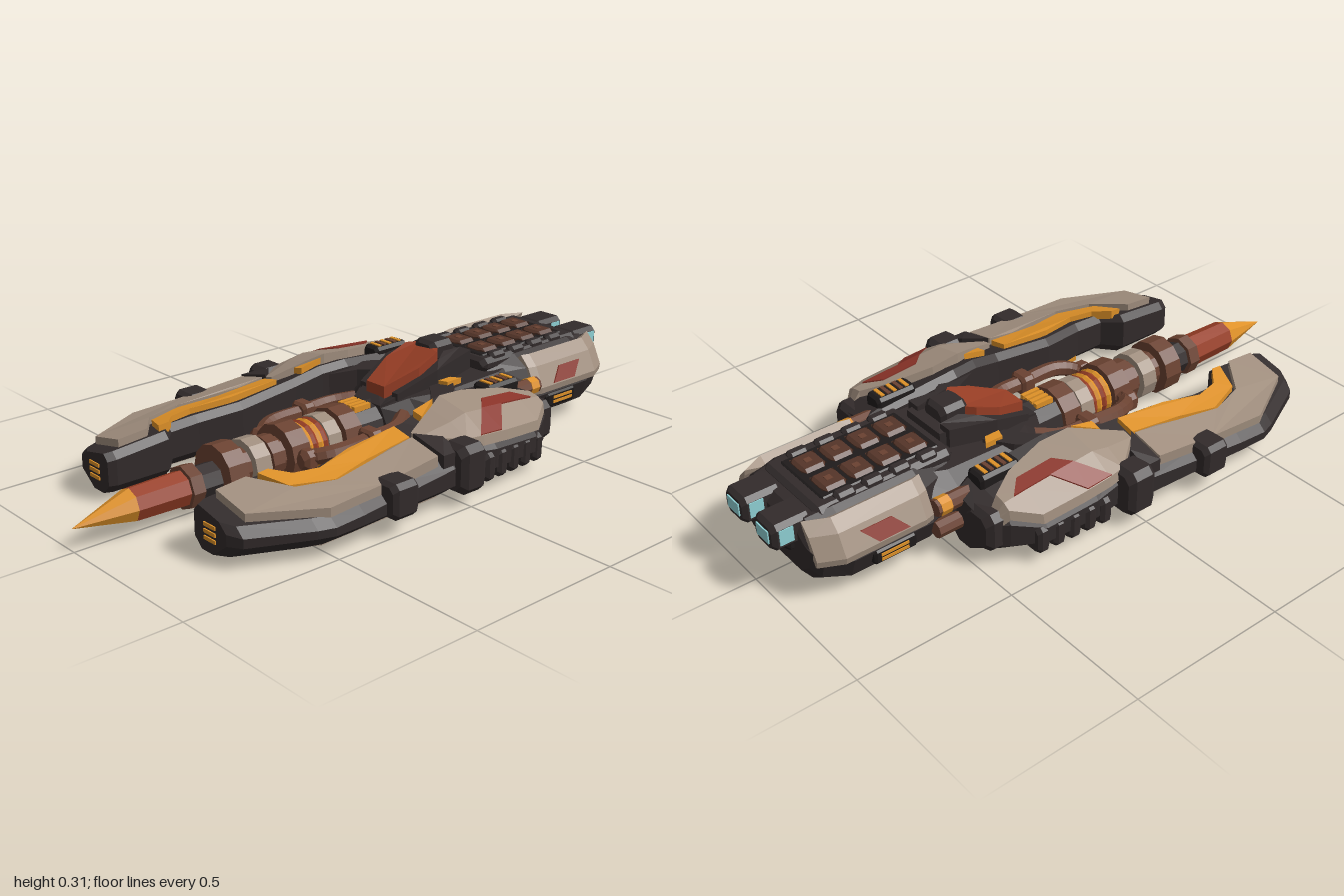
import * as THREE from 'three';

const mat = (name, color) => Object.assign(new THREE.MeshStandardMaterial({ color }), { name });
const M = {
  dark: mat('dark armour', 0x322b2b), black: mat('black recess', 0x1f1b1b),
  beige: mat('beige plating', 0xa08e7e), red: mat('red paint', 0x8a3328),
  rust: mat('burnt red', 0x983e25), orange: mat('amber glow', 0xde9128),
  brown: mat('brown metal', 0x6b4231), umber: mat('dark brown tile', 0x553529),
  cyan: mat('cyan glass', 0x90d2d6),
};

// Faceted closed mesh: flips inside-out faces, optionally mirrored across z
function facet(src, flipZ) {
  const g = src.index ? src.toNonIndexed() : src.clone();
  if (flipZ) g.scale(1, 1, -1);
  const p = g.attributes.position, v = [0, 1, 2].map(() => new THREE.Vector3());
  let vol = 0;
  for (let i = 0; i < p.count; i += 3) {
    v.forEach((q, k) => q.fromBufferAttribute(p, i + k));
    vol += v[0].dot(v[1].clone().cross(v[2]));
  }
  if (vol < 0) for (let i = 0; i < p.count; i += 3) {
    v.forEach((q, k) => q.fromBufferAttribute(p, i + k));
    p.setXYZ(i, v[2].x, v[2].y, v[2].z);
    p.setXYZ(i + 2, v[0].x, v[0].y, v[0].z);
  }
  const out = new THREE.BufferGeometry().setAttribute('position', p);
  out.computeVertexNormals();
  return out;
}

// Skin through rings of [z, y] points at stations along x
function loft(stations) {
  const pos = [], idx = [], n = stations[0][1].length;
  for (const [x, ring] of stations) for (const [z, y] of ring) pos.push(x, y, z);
  for (let s = 0; s < stations.length - 1; s++) for (let i = 0; i < n; i++) {
    const a = s * n + i, b = s * n + (i + 1) % n;
    idx.push(a, b, a + n, b, b + n, a + n);
  }
  for (const s of [0, stations.length - 1]) {
    const [x, ring] = stations[s], c = pos.length / 3;
    pos.push(x, ring.reduce((t, q) => t + q[1], 0) / n, ring.reduce((t, q) => t + q[0], 0) / n);
    for (let i = 0; i < n; i++) {
      const a = s * n + i, b = s * n + (i + 1) % n;
      if (s) idx.push(a, b, c); else idx.push(b, a, c);
    }
  }
  const g = new THREE.BufferGeometry();
  g.setAttribute('position', new THREE.Float32BufferAttribute(pos, 3));
  g.setIndex(idx);
  return g;
}

// Chamfered box from its limits
function block(x0, x1, y0, y1, z0, z1, c = 0.01) {
  const ring = (i) => {
    const a = z0 + i, b = z1 - i, d = y0 + i, e = y1 - i;
    return [[a + c, d], [b - c, d], [b, d + c], [b, e - c], [b - c, e], [a + c, e], [a, e - c], [a, d + c]];
  };
  return loft([[x0, ring(c * 0.7)], [x0 + c, ring(0)], [x1 - c, ring(0)], [x1, ring(c * 0.7)]]);
}
const box = (x0, x1, y0, y1, z0, z1) =>
  new THREE.BoxGeometry(x1 - x0, y1 - y0, z1 - z0).translate((x0 + x1) / 2, (y0 + y1) / 2, (z0 + z1) / 2);
const tube = (x0, x1, r0, r1, y, z, sides) =>
  new THREE.CylinderGeometry(r1, r0, x1 - x0, sides).rotateZ(-Math.PI / 2).translate((x0 + x1) / 2, y, z);

// Plate cut from an [x, z] outline, its top following top(x, z)
function slab(outline, top, thick) {
  const shape = new THREE.Shape(outline.map(([x, z]) => new THREE.Vector2(x, z)));
  const g = new THREE.ExtrudeGeometry(shape, { depth: 1, bevelEnabled: false });
  const p = g.attributes.position;
  for (let i = 0; i < p.count; i++) {
    const x = p.getX(i), z = p.getY(i), t = p.getZ(i);
    p.setXYZ(i, x, top(x, z) - (1 - t) * thick, z);
  }
  return g;
}
const sym = (half) => [...half, ...half.slice().reverse().map(([z, y]) => [-z, y])];

// Height of the prong's upper face, steeper along the outer rear edge
const ridge = [[-0.76, 0.15], [-0.5, 0.172], [-0.15, 0.187], [0, 0.215], [0.1, 0.237], [0.42, 0.212], [0.5, 0.18]];
function prongTop(x, z) {
  let i = 0;
  while (i < ridge.length - 2 && x > ridge[i + 1][0]) i++;
  const [a, b] = [ridge[i], ridge[i + 1]];
  const steep = 0.4 * THREE.MathUtils.clamp((x + 0.1) / 0.2, 0, 1);
  return a[1] + (b[1] - a[1]) * (x - a[0]) / (b[0] - a[0]) - 0.22 * (z - 0.28) - steep * Math.max(0, z - 0.37);
}

export function createModel() {
  const root = new THREE.Group();
  root.name = 'spaceship';
  const add = (name, g, m) => {
    const mesh = new THREE.Mesh(facet(g, false), m);
    mesh.name = name;
    root.add(mesh);
  };
  const pair = (name, g, m) => {
    add(name + 'Left', g, m);
    const mesh = new THREE.Mesh(facet(g, true), m);
    mesh.name = name + 'Right';
    root.add(mesh);
  };

  // Side prongs: [x, inner z, outer z]
  const stations = [[-0.755, 0.21, 0.35], [-0.73, 0.2, 0.39], [-0.55, 0.2, 0.475], [-0.5, 0.26, 0.492],
    [-0.4, 0.26, 0.49], [-0.25, 0.235, 0.48], [-0.04, 0.235, 0.47], [0.06, 0.22, 0.445], [0.15, 0.2, 0.456],
    [0.33, 0.2, 0.45], [0.42, 0.2, 0.4], [0.48, 0.21, 0.35]];
  pair('prong', loft(stations.map(([x, a, b]) => {
    const t = (z) => prongTop(x, z) - 0.016;
    return [x, [[a, 0.05], [a + 0.03, 0.02], [b - 0.06, 0.02], [b, 0.065], [b, t(b) - 0.02], [b - 0.03, t(b - 0.03)],
      [a + 0.02, t(a + 0.02)], [a, t(a) - 0.025]]];
  })), M.dark);
  const over = (h) => (x, z) => prongTop(x, z) + h;
  pair('prongFrontPlate', slab([[-0.7, 0.235], [-0.7, 0.36], [-0.5, 0.468], [-0.3, 0.462], [-0.09, 0.452], [-0.09, 0.345],
    [-0.18, 0.345], [-0.28, 0.365], [-0.4, 0.38], [-0.52, 0.345], [-0.6, 0.235]], over(0.008), 0.034), M.beige);
  const crest = [[-0.07, 0.32, 0.345, 0.35, 0], [0.04, 0.285, 0.37, 0.437, 0.008], [0.1, 0.262, 0.37, 0.447, 0.008],
    [0.2, 0.257, 0.37, 0.447, 0.008], [0.34, 0.29, 0.37, 0.442, 0.008], [0.42, 0.335, 0.37, 0.392, 0.006],
    [0.45, 0.34, 0.36, 0.37, -0.03]];
  pair('prongRearPlate', loft(crest.map(([x, a, k, b, h]) => {
    const t = (z) => prongTop(x, z) + h;
    return [x, [[a, t(a)], [k, t(k)], [b, t(b)], [b + 0.006, t(b) - 0.03], [k, t(k) - 0.04], [a, t(a) - 0.04]]];
  })), M.beige);
  // Red chevron: one limb on the steep edge, one along the crest
  pair('stripeOuter', slab([[0.09, 0.445], [0.18, 0.445], [0.255, 0.37], [0.17, 0.37]], over(0.012), 0.008), M.red);
  pair('stripeInner', slab([[0.17, 0.37], [0.385, 0.37], [0.34, 0.325], [0.215, 0.325]], over(0.012), 0.008), M.red);
  pair('prongGlow', slab([[-0.56, 0.235], [-0.525, 0.325], [-0.4, 0.37], [-0.27, 0.345], [-0.09, 0.335], [-0.09, 0.27],
    [-0.27, 0.275], [-0.4, 0.305], [-0.48, 0.287], [-0.525, 0.235]], over(0.003), 0.03), M.orange);
  pair('jointGlow', slab([[0, 0.255], [0, 0.292], [0.08, 0.255]], over(0.004), 0.02), M.orange);
  pair('prongUnderPlate', slab([[-0.68, 0.24], [-0.68, 0.33], [-0.5, 0.43], [-0.05, 0.41], [-0.05, 0.27], [-0.4, 0.295],
    [-0.5, 0.295], [-0.56, 0.24]], () => 0.022, 0.006), M.beige);
  pair('rearUnderPlate', slab([[-0.02, 0.28], [0.06, 0.39], [0.32, 0.39], [0.4, 0.34], [0.3, 0.25], [0.1, 0.25]],
    () => 0.022, 0.006), M.beige);
  pair('underStripe', slab([[0.1, 0.38], [0.18, 0.38], [0.24, 0.34], [0.36, 0.34], [0.33, 0.3], [0.2, 0.3]],
    () => 0.02, 0.006), M.red);
  pair('prongUnderGlow', slab([[-0.4, 0.27], [-0.4, 0.3], [-0.1, 0.275], [-0.1, 0.25]], () => 0.05, 0.028), M.orange);

  // Prong clamps, side ribs and tip vents
  pair('frontClamp', block(-0.315, -0.22, 0.05, 0.158, 0.42, 0.518, 0.015), M.dark);
  pair('rearClamp', block(-0.035, 0.065, 0.035, 0.185, 0.4, 0.503, 0.02), M.dark);
  pair('clampBand', slab([[-0.08, 0.34], [-0.08, 0.465], [-0.02, 0.465], [-0.02, 0.4]], over(0.012), 0.04), M.dark);
  for (let i = 0; i < 5; i++) {
    const x = 0.1 + i * 0.055;
    pair('sideRib', block(x, x + 0.042, 0.03, 0.12, 0.38, 0.465 - i * 0.003, 0.012), M.dark);
  }
  pair('rearBumper', block(0.4, 0.485, 0.05, 0.175, 0.27, 0.385, 0.02), M.dark);
  for (let i = 0; i < 3; i++) pair('tipVent', box(-0.759, -0.752, 0.055 + i * 0.02, 0.066 + i * 0.02, 0.255, 0.305), M.orange);

  // Central lance, its point dipping slightly
  const axis = 0.094;
  const tip = tube(-1, -0.82, 0.001, 0.05, 0.084, 0, 8), tp = tip.attributes.position;
  for (let i = 0; i < tp.count; i++) tp.setY(i, tp.getY(i) + (tp.getX(i) + 0.82) * 0.08);
  add('lanceTip', tip, M.orange);
  const parts = [[-0.82, -0.64, 0.05, 0.054, 'rust', 'lanceBlade'],
    [-0.65, -0.61, 0.066, 0.066, 'brown', 'lanceCollar'], [-0.62, -0.5, 0.052, 0.052, 'dark', 'lanceShaft'],
    [-0.54, -0.475, 0.09, 0.09, 'brown', 'largeCollar'], [-0.48, -0.15, 0.058, 0.058, 'brown', 'coreShaft'],
    [-0.44, -0.385, 0.08, 0.08, 'beige', 'frontRing'], [-0.37, -0.33, 0.07, 0.07, 'brown', 'coreCollar'],
    [-0.315, -0.25, 0.094, 0.094, 'brown', 'pipeHub'], [-0.17, -0.12, 0.085, 0.085, 'beige', 'rearRing'],
    [-0.11, -0.045, 0.094, 0.094, 'brown', 'rearHub'], [-0.05, 0.12, 0.078, 0.085, 'dark', 'coreSocket']];
  for (const [x0, x1, r0, r1, m, name] of parts) {
    const lance = name.startsWith('lance');
    add(name, tube(x0, x1, r0, r1, lance ? 0.084 : axis, 0, lance ? 8 : 12), M[m]);
  }
  for (let i = 0; i < 4; i++)
    add('glowCoil', new THREE.TorusGeometry(0.07, 0.012, 6, 16).rotateY(Math.PI / 2).translate(-0.237 + i * 0.02, axis, 0),
      i % 2 ? M.rust : M.orange);
  for (let i = 0; i < 4; i++) add('coreVent', box(-0.035, 0.03, 0.155, 0.181, -0.038 + i * 0.021, -0.024 + i * 0.021), M.orange);

  // Looping pipes beside the core
  const pipe = new THREE.CatmullRomCurve3([[-0.28, 0.1, 0.07], [-0.265, 0.11, 0.12], [-0.21, 0.12, 0.155], [-0.08, 0.125, 0.155],
    [0.03, 0.13, 0.15], [0.1, 0.14, 0.11]].map((p) => new THREE.Vector3(...p)));
  pair('corePipe', new THREE.TubeGeometry(pipe, 20, 0.025, 7), M.brown);
  pair('pipeJoint', block(-0.1, -0.05, 0.09, 0.158, 0.12, 0.19), M.brown);
  pair('pipeElbow', block(-0.31, -0.255, 0.07, 0.135, 0.085, 0.14, 0.015), M.brown);
  for (const y of [0.095, 0.17]) pair('rearPipe', tube(0.44, 0.56, 0.026, 0.026, y, 0.24, 8), M.brown);
  pair('rearPipeGlow', tube(0.515, 0.55, 0.028, 0.028, 0.17, 0.24, 8), M.orange);

  // Middle hull joining the prongs
  const mid = (w, t) => sym([[w * 0.8, 0.022], [w, 0.06], [w, t - 0.05], [w * 0.7, t]]);
  add('midHull', loft([[0.05, mid(0.09, 0.165)], [0.13, mid(0.15, 0.19)], [0.22, mid(0.235, 0.205)], [0.46, mid(0.24, 0.215)],
    [0.58, mid(0.19, 0.23)]]), M.dark);
  pair('diagonalArm', slab([[0.03, 0.245], [0.09, 0.29], [0.24, 0.19], [0.3, 0.12], [0.22, 0.1], [0.16, 0.17]],
    (x) => 0.185 + x * 0.12, 0.13), M.dark);
  pair('armGlow', slab([[0.24, 0.12], [0.25, 0.15], [0.31, 0.15], [0.29, 0.12]], () => 0.226, 0.02), M.orange);
  pair('ventFrame', block(0.29, 0.43, 0.15, 0.235, 0.215, 0.285), M.black);
  for (let i = 0; i < 5; i++)
    pair('ventSlat', box(0.31 + i * 0.022, 0.322 + i * 0.022, 0.23, 0.239, 0.228, 0.272), i % 2 ? M.brown : M.orange);

  // Cockpit with sloping red canopy standing proud of its rails
  const rise = (x) => 0.218 + (x - 0.08) * 0.39;
  add('cockpitBase', slab([[0.05, -0.06], [0.05, 0.06], [0.18, 0.1], [0.3, 0.1], [0.42, 0.08], [0.42, -0.08], [0.3, -0.1],
    [0.18, -0.1]], (x) => Math.min(rise(x) - 0.035, 0.27), 0.09), M.dark);
  add('canopy', slab([[0.085, -0.04], [0.085, 0.04], [0.2, 0.075], [0.28, 0.07], [0.315, 0.04], [0.315, -0.04], [0.28, -0.07],
    [0.2, -0.075]], (x) => Math.min(rise(x), 0.3), 0.05), M.rust);
  add('canopyHood', block(0.29, 0.385, 0.25, 0.315, -0.048, 0.048, 0.015), M.dark);
  pair('canopyRail', slab([[0.1, 0.06], [0.1, 0.085], [0.24, 0.115], [0.4, 0.1], [0.4, 0.055], [0.33, 0.05], [0.28, 0.078],
    [0.2, 0.084]], (x) => Math.min(rise(x) - 0.022, 0.285), 0.06), M.dark);

  // Rear hull
  const rear = (w, b, t) => sym([[w * 0.66, b], [w * 0.9, b + 0.035], [w, b + 0.1], [w * 0.84, t - 0.035], [w * 0.6, t]]);
  add('rearHull', loft([[0.44, rear(0.18, 0.02, 0.24)], [0.56, rear(0.235, 0.02, 0.248)], [0.82, rear(0.235, 0.02, 0.25)],
    [0.9, rear(0.215, 0.045, 0.24)], [0.925, rear(0.19, 0.075, 0.215)]]), M.dark);
  const side = (d) => [[0.242 - d, 0.13], [0.245 - d, 0.15], [0.213 - d, 0.215], [0.18 - d, 0.25], [0.15, 0.23], [0.2, 0.13]];
  pair('sidePanel', loft([[0.56, side(0.008)], [0.59, side(0)], [0.85, side(0)], [0.92, side(0.035)]]), M.beige);
  const stripe = [[0.2465, 0.155], [0.2245, 0.2], [0.217, 0.197], [0.239, 0.152]];
  const paint = loft([[0.67, stripe], [0.77, stripe]]), pp = paint.attributes.position;
  for (let i = 0; i < pp.count; i++) pp.setX(i, pp.getX(i) + (pp.getY(i) - 0.18));
  pair('sideStripe', paint, M.red);
  pair('sideVentFrame', block(0.62, 0.76, 0.07, 0.12, 0.2, 0.24, 0.008), M.black);
  for (let i = 0; i < 2; i++) pair('sideVent', box(0.65, 0.74, 0.083 + i * 0.015, 0.092 + i * 0.015, 0.235, 0.243), M.orange);
  add('keel', block(0.5, 0.8, 0.008, 0.04, -0.06, 0.06, 0.012), M.dark);

  // Tiled upper deck
  add('deck', block(0.42, 0.87, 0.21, 0.256, -0.145, 0.145, 0.015), M.dark);
  add('deckRecess', block(0.445, 0.83, 0.24, 0.26, -0.11, 0.11, 0.005), M.black);
  for (let i = 0; i < 4; i++) {
    const x = 0.465 + i * 0.09;
    pair('deckTile', block(x, x + 0.076, 0.25, 0.27, 0.01, 0.094), M.umber);
    pair('tileStud', box(x + 0.028, x + 0.048, 0.265, 0.272, 0.042, 0.062), M.brown);
    pair('deckRib', block(x, x + 0.065, 0.23, 0.268, 0.1, 0.138), M.dark);
  }

  // Twin engines with glowing ends and sides
  pair('engine', block(0.87, 0.996, 0.165, 0.25, 0.025, 0.128, 0.014), M.dark);
  pair('engineMount', block(0.85, 0.945, 0.13, 0.2, 0.045, 0.105), M.black);
  pair('engineGlow', box(0.992, 1, 0.19, 0.23, 0.047, 0.106), M.cyan);
  pair('engineOuterGlow', box(0.935, 0.978, 0.187, 0.235, 0.123, 0.131), M.cyan);
  pair('engineInnerGlow', box(0.935, 0.978, 0.187, 0.235, 0.022, 0.03), M.cyan);
  return root;
}
